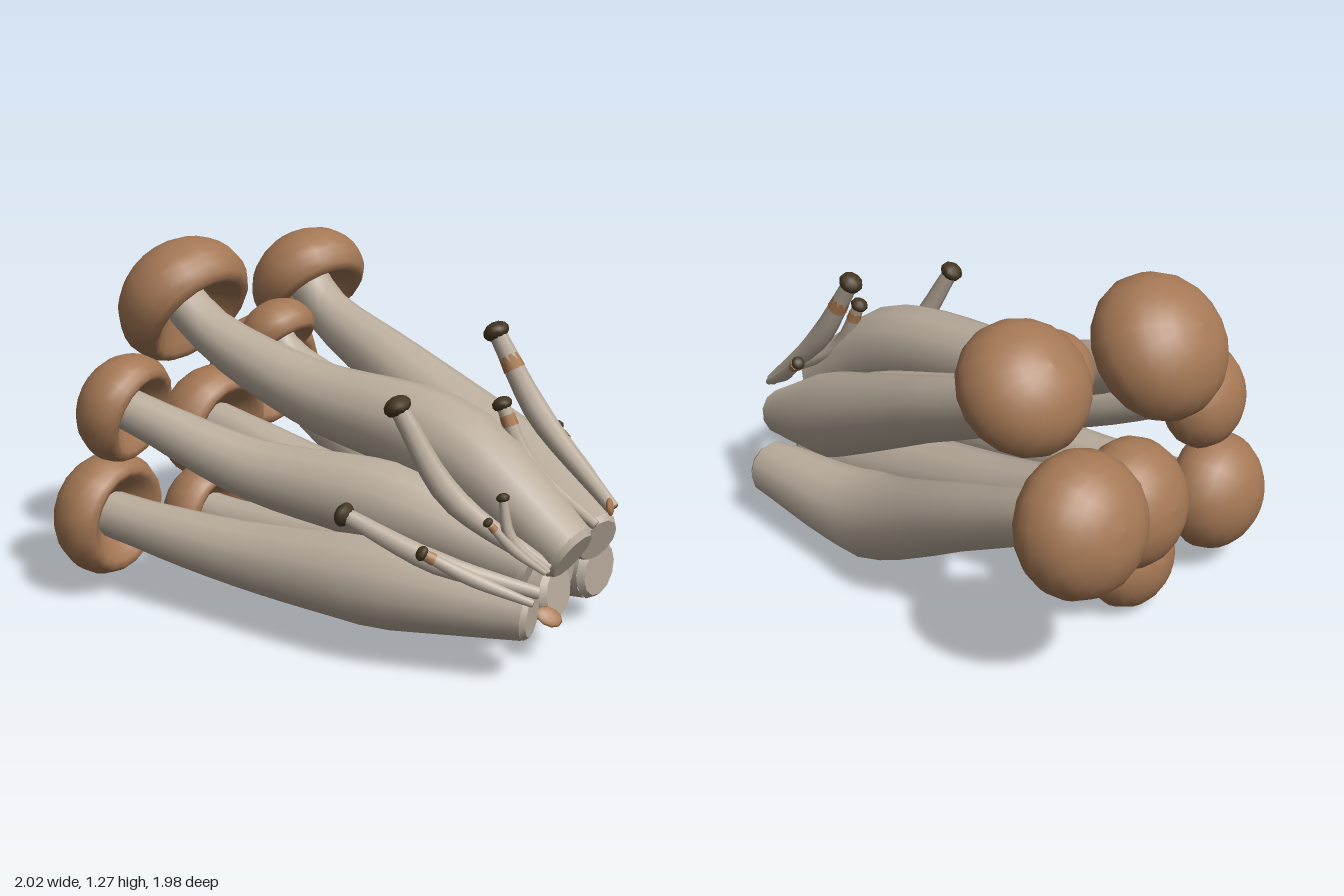
import * as THREE from 'three';

const paint = (name, color) => Object.assign(new THREE.MeshStandardMaterial({ color }), { name });
const V = (x, y, z) => new THREE.Vector3(x, y, z);
const UP = V(0, 1, 0);

export function createModel() {
  const model = new THREE.Group();
  model.name = 'mushroomCluster';
  const capBrown = paint('capBrown', 0xa57855);
  const stemCream = paint('stemCream', 0xb9ac9c);
  const budDark = paint('budDark', 0x44361f);
  const scarTan = paint('scarTan', 0xa9794f);
  capBrown.side = THREE.DoubleSide;

  // Adds a mesh whose +y axis points along the given direction
  function add(parent, name, geometry, material, at = V(0, 0, 0), axis = UP) {
    const mesh = new THREE.Mesh(geometry, material);
    mesh.name = name;
    mesh.position.copy(at);
    mesh.quaternion.setFromUnitVectors(UP, axis);
    parent.add(mesh);
    return mesh;
  }

  function group(name) {
    const part = new THREE.Group();
    part.name = name;
    model.add(part);
    return part;
  }

  // Tapered stalk: a tube whose rings are scaled about the path, closed by a cut foot
  function stalk(parent, points, radii, sides, steps, footMaterial) {
    const curve = new THREE.CatmullRomCurve3(points);
    const spans = points.length - 1;
    const geometry = new THREE.TubeGeometry(curve, steps, 1, sides);
    const position = geometry.attributes.position;
    const p = V(0, 0, 0);
    for (let i = 0; i < position.count; i++) {
      const u = Math.floor(i / (sides + 1)) / steps;
      const t = curve.getUtoTmapping(u) * spans;
      const k = Math.min(Math.floor(t), spans - 1);
      const centre = curve.getPointAt(u);
      const radius = THREE.MathUtils.lerp(radii[k], radii[k + 1], t - k);
      p.fromBufferAttribute(position, i).sub(centre).multiplyScalar(radius).add(centre);
      position.setXYZ(i, p.x, p.y, p.z);
    }
    add(parent, 'stem', geometry, stemCream);
    const r = radii[spans];
    const out = curve.getTangentAt(1);
    add(parent, 'stemFoot', new THREE.CylinderGeometry(r * 0.85, r, r * 0.2, sides), footMaterial,
      curve.getPointAt(1).addScaledVector(out, r * 0.1), out);
    return curve;
  }

  // Domed cap with a rolled rim and a hollow underside
  const rim = new THREE.SplineCurve([
    [0.18, 0.08], [0.5, -0.2], [0.8, -0.42], [1, -0.08], [0.86, 0.38], [0.45, 0.7], [0, 0.79],
  ].map((p) => new THREE.Vector2(...p)));
  const capGeometry = new THREE.LatheGeometry(rim.getPoints(18), 18);

  // Large mushroom: the cap follows the stem, raised by lift; the stem sags at the waist and swells at the knee
  function mushroom(at, capRadius, lift, sag, knee, kneeRadius, foot, footRadius) {
    const part = group('mushroom');
    const axis = at.clone().sub(knee).normalize();
    axis.y += lift;
    axis.normalize();
    const cap = add(part, 'cap', capGeometry, capBrown, at, axis);
    cap.scale.setScalar(capRadius);
    const tip = at.clone().addScaledVector(axis, capRadius * 0.2);
    const neck = at.clone().addScaledVector(axis, -capRadius * 0.65);
    const waist = neck.clone().lerp(knee, 0.42);
    waist.y -= sag;
    const slim = Math.min(0.085, capRadius * 0.37);
    stalk(part, [tip, neck, waist, knee, foot],
      [slim, slim * 1.05, (slim + kneeRadius) * 0.48, kneeRadius, footRadius], 12, 16, stemCream);
  }
  mushroom(V(-0.575, 1.025, -0.2), 0.265, 0.45, 0.05, V(0.44, 0.67, 0.52), 0.165, V(0.81, 0.4, 0.77), 0.105);
  mushroom(V(-0.14, 1.04, -0.6), 0.235, 0.45, 0, V(0.64, 0.52, 0.18), 0.17, V(0.92, 0.36, 0.5), 0.095);
  mushroom(V(-0.34, 0.635, -0.765), 0.25, -0.1, 0, V(0.48, 0.2, -0.02), 0.17, V(0.94, 0.19, 0.34), 0.11);
  mushroom(V(-0.22, 0.91, -0.17), 0.15, 0.6, 0.02, V(0.45, 0.55, 0.28), 0.11, V(0.78, 0.36, 0.6), 0.09);
  mushroom(V(-0.5, 0.505, -0.38), 0.235, 0, 0.02, V(0.45, 0.26, 0.28), 0.16, V(0.8, 0.23, 0.5), 0.1);
  mushroom(V(-0.74, 0.69, 0.14), 0.205, 0.12, 0.045, V(0.25, 0.48, 0.58), 0.15, V(0.68, 0.34, 0.72), 0.1);
  mushroom(V(-0.815, 0.29, 0.135), 0.23, 0.08, 0.02, V(0.22, 0.26, 0.72), 0.155, V(0.68, 0.23, 0.88), 0.09);
  mushroom(V(-0.5, 0.195, -0.21), 0.2, 0.08, 0, V(0.45, 0.17, 0.42), 0.13, V(0.78, 0.21, 0.62), 0.1);

  // Thin sprout: dark bud and a bent stalk, with an optional tan collar some way down it
  const budGeometry = new THREE.SphereGeometry(1, 10, 6);
  function sprout(r, tip, bend, foot, collarAt, footMaterial) {
    const part = group('sprout');
    const curve = stalk(part, [tip, bend, foot], [r * 0.65, r * 0.95, r * 0.5], 8, 10, footMaterial);
    const up = curve.getTangentAt(0).negate();
    const bud = add(part, 'bud', budGeometry, budDark, tip.clone().addScaledVector(up, r * 0.25), up);
    bud.scale.set(r, r * 0.7, r);
    if (collarAt) {
      add(part, 'collar', new THREE.CylinderGeometry(r * 0.73, r * 0.82, r * 1.1, 8), scarTan,
        curve.getPointAt(collarAt), curve.getTangentAt(collarAt).negate());
    }
  }
  sprout(0.047, V(0.585, 1.01, 0.295), V(0.73, 0.75, 0.38), V(0.97, 0.48, 0.55), 0.15, scarTan);
  sprout(0.035, V(0.6, 0.82, 0.54), V(0.69, 0.63, 0.59), V(0.9, 0.47, 0.7), 0.1, stemCream);
  sprout(0.047, V(0.265, 0.87, 0.8), V(0.43, 0.6, 0.84), V(0.74, 0.37, 0.84), 0, stemCream);
  sprout(0.042, V(0.1, 0.51, 0.785), V(0.38, 0.4, 0.89), V(0.71, 0.31, 0.91), 0, stemCream);
  sprout(0.026, V(0.35, 0.45, 0.965), V(0.5, 0.37, 0.96), V(0.69, 0.29, 0.95), 0.06, scarTan);
  sprout(0.022, V(0.595, 0.6, 0.86), V(0.62, 0.48, 0.88), V(0.74, 0.37, 0.88), 0, stemCream);
  sprout(0.018, V(0.55, 0.54, 0.92), V(0.63, 0.45, 0.91), V(0.73, 0.37, 0.89), 0.08, stemCream);
  sprout(0.027, V(0.8, 0.68, 0.285), V(0.88, 0.58, 0.39), V(0.98, 0.48, 0.53), 0.1, scarTan);

  // Torn tan scars near the foot of the cluster
  function scar(at, size, facing) {
    add(model, 'scar', budGeometry, scarTan, at, facing.normalize()).scale.copy(size);
  }
  scar(V(0.76, 0.16, 0.73), V(0.05, 0.012, 0.035), V(0.4, 0.6, 0.7));
  scar(V(0.96, 0.49, 0.57), V(0.03, 0.012, 0.035), V(0.9, 0.2, 0.2));
  return model;
}
